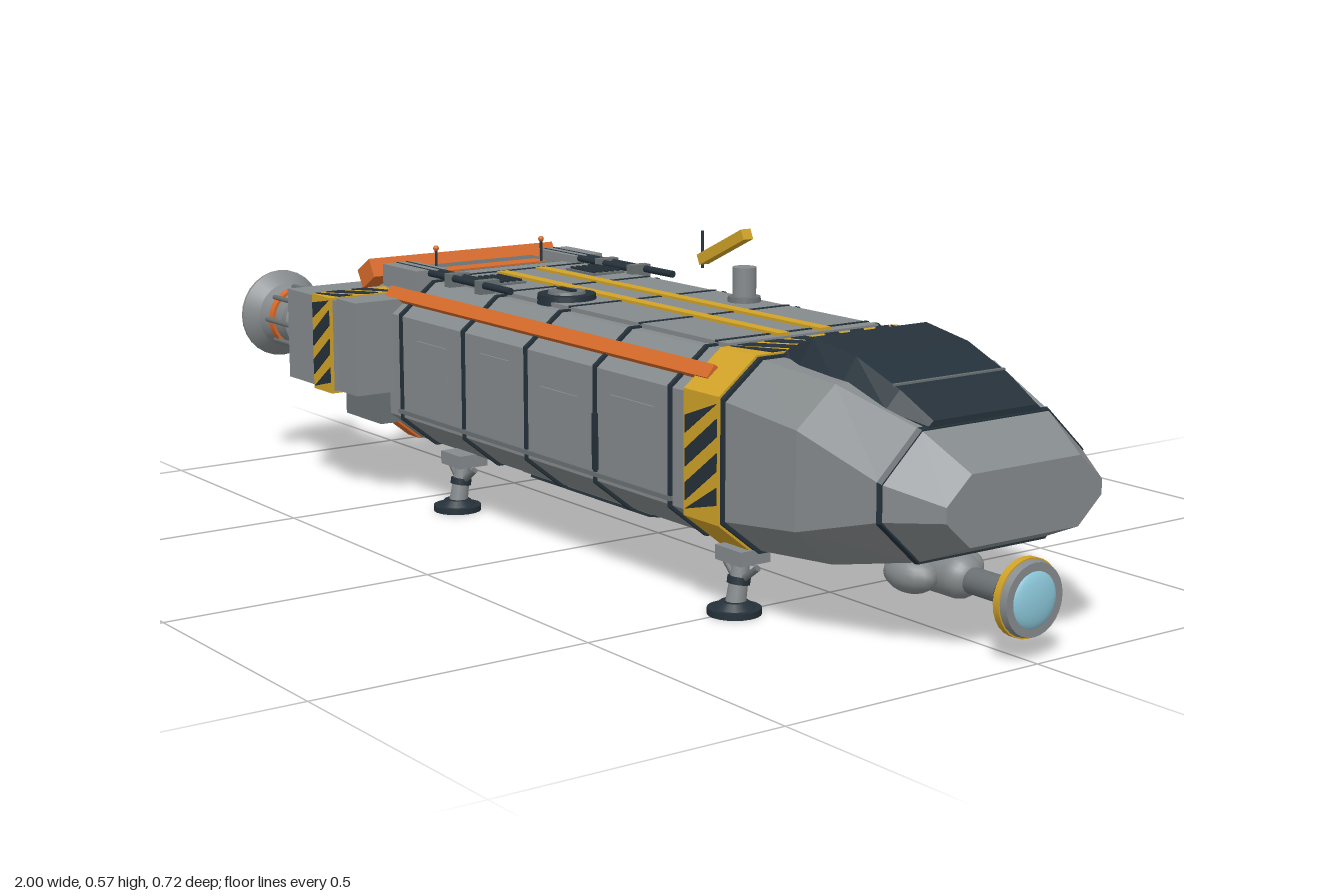
import * as THREE from 'three';

const mat = (name, color) => Object.assign(new THREE.MeshStandardMaterial({ color }), { name });
const GREY = mat('hull grey', 0x858a8c);
const MID = mat('machinery grey', 0x6b7173);
const DARK = mat('dark slate', 0x25313a);
const YELLOW = mat('warning yellow', 0xd0a228);
const ORANGE = mat('trim orange', 0xd66a2a);
const GLASS = mat('lens blue', 0x8cc8da);

export function createModel() {
  const root = new THREE.Group();
  root.name = 'cargoShip';
  const add = (name, geo, m, x = 0, y = 0, z = 0, parent = root) => {
    const mesh = new THREE.Mesh(geo, m);
    mesh.name = name;
    mesh.position.set(x, y, z);
    parent.add(mesh);
    return mesh;
  };
  // box given by its ranges along each axis
  const box = (name, m, x0, x1, y0, y1, z0, z1, parent) =>
    add(name, new THREE.BoxGeometry(x1 - x0, y1 - y0, z1 - z0), m, (x0 + x1) / 2, (y0 + y1) / 2, (z0 + z1) / 2, parent);
  // round bar between two points
  const rod = (name, m, a, b, r0, r1 = r0, sides = 12, parent = root) => {
    const A = new THREE.Vector3(...a), B = new THREE.Vector3(...b), d = B.clone().sub(A);
    const mesh = add(name, new THREE.CylinderGeometry(r1, r0, d.length(), sides), m, 0, 0, 0, parent);
    mesh.position.copy(A).add(B).multiplyScalar(0.5);
    mesh.quaternion.setFromUnitVectors(new THREE.Vector3(0, 1, 0), d.normalize());
    return mesh;
  };
  // flat-faced skin through cross-sections [x, [[y, z], ...]], capped at both ends
  const loft = rings => {
    const pos = [], P = rings.map(([x, pts]) => pts.map(([y, z]) => [x, y, z])), n = P[0].length;
    const tri = (...c) => c.forEach(p => pos.push(...p));
    for (let i = 0; i < n; i++) {
      const j = (i + 1) % n;
      for (let k = 0; k + 1 < P.length; k++) {
        tri(P[k][i], P[k][j], P[k + 1][j]);
        tri(P[k][i], P[k + 1][j], P[k + 1][i]);
      }
      const s = P[0], e = P[P.length - 1];
      if (i > 0 && j > 0) { tri(s[0], s[j], s[i]); tri(e[0], e[i], e[j]); }
    }
    const g = new THREE.BufferGeometry();
    g.setAttribute('position', new THREE.Float32BufferAttribute(pos, 3));
    g.computeVertexNormals();
    return g;
  };
  const mirror = half => [...half, ...half.map(([y, z]) => [y, -z]).reverse()];
  const oct = (hz, y0, y1, cz, cy) => mirror([[y1, hz - cz], [y1 - cy, hz], [y0 + cy, hz], [y0, hz - cz]]);

  // Hull and nose
  const body = (o = 0) => oct(0.26 + o, 0.11 - o, 0.43 + o, 0.076, 0.06);
  add('hull', loft([
    [-0.73, oct(0.215, 0.155, 0.42, 0.065, 0.055)], [-0.57, body()], [0.535, body()],
    [0.71, oct(0.249, 0.122, 0.415, 0.078, 0.065)], [0.87, oct(0.215, 0.155, 0.365, 0.08, 0.075)],
    [0.965, oct(0.165, 0.195, 0.31, 0.05, 0.045)]]), GREY);
  const ring = (name, m, x0, x1, o) => add(name, loft([[x0, body(o)], [x1, body(o)]]), m);
  for (const x of [-0.49, -0.26, -0.045, 0.175, 0.395]) ring('hullSeam', DARK, x - 0.004, x + 0.004, 0.004);
  ring('orangeBand', ORANGE, -0.6, -0.555, 0.003);
  ring('hazardBand', YELLOW, 0.44, 0.535, 0.007);
  ring('noseSeam', DARK, 0.535, 0.543, 0.004);
  add('noseRing', loft([[0.866, oct(0.218, 0.152, 0.368, 0.08, 0.075)], [0.874, oct(0.215, 0.153, 0.365, 0.08, 0.075)]]), DARK);

  // Diagonal stripes on a w by h rectangle centred on the local origin
  const hazard = (w, h, parent, flip = 1) => {
    const g = new THREE.Group(), t = 0.03;
    g.name = 'hazardStripes';
    for (let y = -w * 0.5; y < h - 0.015; y += 0.057) {
      const c = v => Math.min(h, Math.max(0, v)) - h / 2;
      const pts = [[-w / 2, c(y)], [w / 2, c(y + w * 0.75)], [w / 2, c(y + w * 0.75 + t)], [-w / 2, c(y + t)]];
      const s = new THREE.Shape(pts.map(([a, b]) => new THREE.Vector2(a * flip, b)));
      add('stripe', new THREE.ExtrudeGeometry(s, { depth: 0.003, bevelEnabled: false }), DARK, 0, 0, 0, g);
    }
    parent.add(g);
    return g;
  };
  for (const s of [1, -1]) {
    const side = hazard(0.085, 0.19, root, s);
    side.position.set(0.4875, 0.27, s * 0.266);
    if (s < 0) side.rotation.y = Math.PI;
    const top = hazard(0.085, 0.17, root, s);
    top.position.set(0.4875, 0.436, s * 0.09);
    top.rotation.x = -Math.PI / 2;
  }

  // Cockpit canopy
  const cano = (yt, zt, ym, zm, yb, zb) => mirror([[yt, zt], [ym, zm], [yb, zb]]);
  add('canopy', loft([
    [0.535, cano(0.44, 0.125, 0.425, 0.15, 0.38, 0.15)], [0.595, cano(0.469, 0.122, 0.405, 0.162, 0.37, 0.15)],
    [0.7, cano(0.452, 0.12, 0.4, 0.158, 0.36, 0.15)], [0.8, cano(0.414, 0.116, 0.385, 0.145, 0.35, 0.14)],
    [0.872, cano(0.376, 0.11, 0.368, 0.12, 0.345, 0.12)]]), DARK);
  box('canopyBar', MID, 0.784, 0.79, 0.416, 0.421, -0.118, 0.118);

  // Roof deck, stripes, vents and hatch
  box('roofDeck', GREY, -0.54, 0.425, 0.425, 0.438, -0.165, 0.165);
  for (const x of [-0.49, -0.26, -0.045, 0.175, 0.395]) box('deckSeam', DARK, x - 0.004, x + 0.004, 0.436, 0.4395, -0.166, 0.166);
  for (const z of [-0.05, 0.041]) box('roofStripe', YELLOW, -0.47, 0.42, 0.436, 0.443, z - 0.012, z + 0.012);
  for (const z of [-0.12, 0.11]) {
    box('ventFrame', MID, -0.43, -0.33, 0.436, 0.442, z - 0.036, z + 0.036);
    for (let i = 0; i < 5; i++) box('ventSlat', DARK, -0.422, -0.338, 0.44, 0.446, z - 0.031 + i * 0.014, z - 0.025 + i * 0.014);
  }
  rod('hatchRim', DARK, [-0.13, 0.43, 0.115], [-0.13, 0.448, 0.115], 0.056, 0.054, 24);
  rod('hatchLid', MID, [-0.13, 0.44, 0.115], [-0.13, 0.453, 0.115], 0.038, 0.034, 24);
  box('hatchHandle', DARK, -0.155, -0.105, 0.452, 0.457, 0.109, 0.121);

  // Aft roof blocks, pipes and aerials
  box('aftRoofPanel', MID, -0.66, -0.55, 0.41, 0.437, -0.15, 0.15);
  box('aftRoofTrim', ORANGE, -0.6, -0.555, 0.43, 0.4395, -0.12, 0.12);
  for (const s of [1, -1]) {
    box('pipeBlock', GREY, -0.63, -0.5, 0.41, 0.453, Math.min(s * 0.15, s * 0.22), Math.max(s * 0.15, s * 0.22));
    for (const z of [0.165, 0.187]) {
      rod('roofPipe', DARK, [-0.63, 0.447, s * z], [z < 0.17 ? -0.305 : -0.21, 0.447, s * z], 0.007);
    }
    for (const x of [-0.42, -0.31]) box('pipeClamp', MID, x - 0.01, x + 0.01, 0.43, 0.456, s * 0.176 - 0.022, s * 0.176 + 0.022);
  }
  for (const [x, y, z] of [[-0.625, 0.475, 0.1], [-0.56, 0.485, -0.11]]) {
    rod('aerial', DARK, [x, 0.42, z], [x, y, z], 0.003, 0.003, 6);
    add('aerialTip', new THREE.SphereGeometry(0.006, 10, 8), ORANGE, x, y, z);
  }
  box('rearBeam', ORANGE, -0.0275, 0.0275, -0.02, 0.02, -0.22, 0.22);
  const beam = root.getObjectByName('rearBeam');
  beam.position.set(-0.7, 0.425, 0);
  beam.rotation.z = 0.55;

  // Crane
  rod('cranePost', GREY, [0.09, 0.43, -0.13], [0.09, 0.502, -0.13], 0.022, 0.022, 20);
  rod('craneFoot', MID, [0.09, 0.43, -0.13], [0.09, 0.448, -0.13], 0.032, 0.03, 20);
  const arm = box('craneArm', YELLOW, -0.074, 0.074, -0.01, 0.01, -0.011, 0.011);
  arm.position.set(0.03, 0.532, -0.13);
  arm.rotation.z = 0.43;
  rod('craneCable', DARK, [-0.038, 0.485, -0.13], [-0.038, 0.555, -0.13], 0.003, 0.003, 6);

  // Engine nozzle firing toward -x
  const nozzle = (x, y, z, len, r) => {
    const g = new THREE.Group();
    g.name = 'engine';
    const prof = [[0, 0], [0.62, 0], [0.72, 0.08], [0.72, 0.22], [0.6, 0.24], [0.6, 0.34], [0.68, 0.36], [0.6, 0.5], [0.62, 0.66], [0.75, 0.83], [1, 0.97], [1, 1], [0, 1]];
    // repeated points keep the rim and steps crisp
    const pts = prof.flatMap(([a, b]) => [new THREE.Vector2(a * r, b * len), new THREE.Vector2(a * r, b * len)]);
    add('nozzle', new THREE.LatheGeometry(pts, 28), GREY, 0, 0, 0, g);
    rod('nozzleRing', ORANGE, [0, len * 0.62, 0], [0, len * 0.68, 0], r * 0.68, r * 0.7, 28, g);
    for (let i = 0; i < 8; i++) {
      const a = i * Math.PI / 4;
      rod('fuelLine', MID, [Math.cos(a) * r * 0.7, len * 0.2, Math.sin(a) * r * 0.7], [Math.cos(a) * r * 0.7, len * 0.72, Math.sin(a) * r * 0.7], 0.005, 0.005, 6, g);
    }
    g.position.set(x, y, z);
    g.rotation.z = Math.PI / 2;
    root.add(g);
  };
  nozzle(-0.78, 0.31, 0.26, 0.22, 0.09);
  nozzle(-0.78, 0.31, -0.26, 0.22, 0.09);
  nozzle(-0.71, 0.25, -0.02, 0.22, 0.097);

  // Side nacelles, rails, hull plates
  for (const s of [1, -1]) {
    const sb = (name, m, x0, x1, y0, y1, z0, z1) => box(name, m, x0, x1, y0, y1, Math.min(s * z0, s * z1), Math.max(s * z0, s * z1));
    sb('nacelle', GREY, -0.79, -0.6, 0.215, 0.395, 0.17, 0.35);
    sb('nacelleFront', GREY, -0.6, -0.525, 0.215, 0.398, 0.2, 0.342);
    sb('nacelleBand', YELLOW, -0.675, -0.602, 0.21, 0.4, 0.18, 0.356);
    sb('nacelleBracket', MID, -0.68, -0.54, 0.15, 0.215, 0.18, 0.282);
    sb('lowerRail', MID, -0.5, 0.4, 0.178, 0.186, 0.255, 0.266);
    const n = hazard(0.066, 0.18, root, s);
    n.position.set(-0.6385, 0.305, s * 0.355);
    if (s < 0) n.rotation.y = Math.PI;
    const t = hazard(0.066, 0.14, root, s);
    t.position.set(-0.6385, 0.399, s * 0.28);
    t.rotation.x = -Math.PI / 2;
    const rail = box('sideRail', ORANGE, -0.58, 0.475, -0.013, 0.013, -0.008, 0.008);
    rail.position.set(-0.0525, 0.402, s * 0.232);
    rail.rotation.x = -s * 0.68;
    for (const [x0, x1, y0, y1] of [[-0.43, -0.32, 0.22, 0.33], [-0.2, -0.1, 0.25, 0.34], [0.0, 0.12, 0.2, 0.31], [0.22, 0.35, 0.23, 0.33]])
      sb('hullPlate', GREY, x0, x1, y0, y1, 0.255, 0.2635);
    sb('sideSlot', DARK, 0.172, 0.182, 0.19, 0.29, 0.26, 0.267);
  }

  // Landing legs
  for (const x of [-0.375, 0.505]) for (const s of [1, -1]) {
    const leg = new THREE.Group();
    leg.name = 'landingLeg';
    box('legMount', GREY, x - 0.035, x + 0.035, 0.088, 0.113, s * 0.193 - 0.031, s * 0.193 + 0.031, leg);
    rod('legStrut', GREY, [x, 0.1, s * 0.193], [x, 0.015, s * 0.208], 0.014, 0.018, 14, leg);
    rod('legCollar', DARK, [x, 0.062, s * 0.2], [x, 0.05, s * 0.202], 0.02, 0.02, 14, leg);
    for (const d of [1, -1]) rod('legBrace', MID, [x, 0.05, s * 0.202], [x + d * 0.045, 0.085, s * 0.197], 0.006, 0.006, 8, leg);
    rod('footPad', DARK, [x, 0, s * 0.21], [x, 0.011, s * 0.21], 0.046, 0.046, 20, leg);
    rod('footTop', DARK, [x, 0.011, s * 0.21], [x, 0.022, s * 0.21], 0.036, 0.024, 20, leg);
    root.add(leg);
  }

  // Belly bay with one door hanging open
  box('bayFrame', MID, -0.2, 0.215, 0.103, 0.112, -0.16, 0.17);
  box('bayOpening', DARK, -0.18, 0.2, 0.1, 0.112, -0.14, 0.15);
  const door = box('bayDoor', DARK, -0.18, 0.2, -0.004, 0.004, -0.085, 0.085);
  door.position.set(0.01, 0.083, 0.082);
  door.rotation.x = -0.2;

  // Chin pod and searchlight
  const pod = add('chinPod', new THREE.CapsuleGeometry(0.038, 0.09, 8, 20), GREY, 0.775, 0.102, 0);
  pod.rotation.z = Math.PI / 2;
  for (const s of [1, -1]) {
    const fairing = add('podFairing', new THREE.SphereGeometry(0.038, 16, 12), GREY, 0.76, 0.1, s * 0.05);
    fairing.scale.set(1.4, 0.85, 0.95);
  }
  rod('podNeck', MID, [0.83, 0.1, 0], [0.955, 0.1, 0], 0.022, 0.022, 16);
  rod('lampBack', DARK, [0.945, 0.1, 0], [0.965, 0.1, 0], 0.045, 0.06, 28);
  rod('lampBand', YELLOW, [0.965, 0.1, 0], [0.978, 0.1, 0], 0.065, 0.065, 28);
  rod('lampRim', GREY, [0.976, 0.1, 0], [0.99, 0.1, 0], 0.063, 0.06, 28);
  const lens = add('lampLens', new THREE.SphereGeometry(0.049, 24, 16), GLASS, 0.985, 0.1, 0);
  lens.scale.x = 0.3;
  return root;
}
